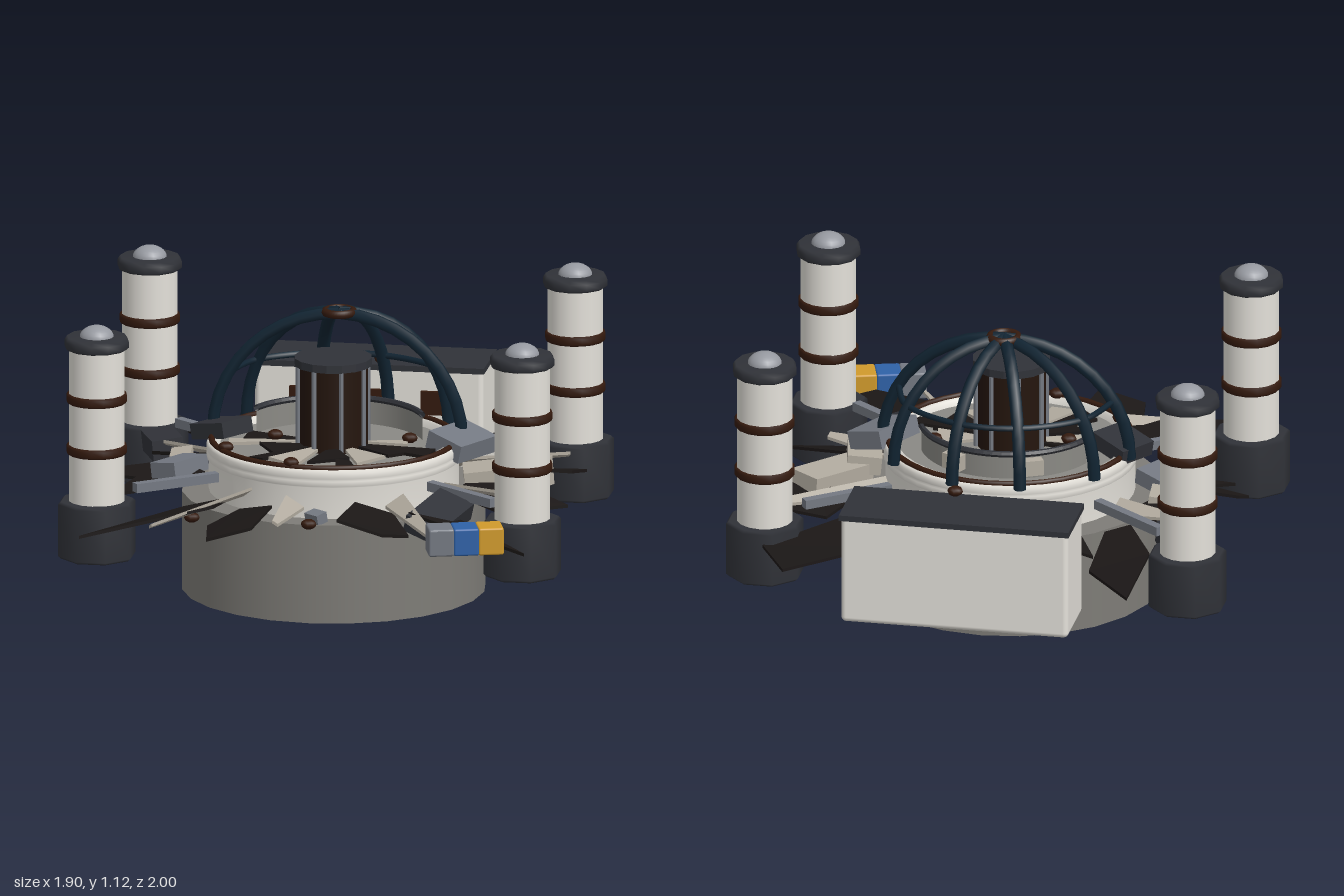
import * as THREE from 'three';
import { RoundedBoxGeometry } from 'three/addons/geometries/RoundedBoxGeometry.js';

const mat = (color, flatShading = false) =>
  new THREE.MeshStandardMaterial({ color, flatShading, side: THREE.DoubleSide });
const M = {
  white: mat(0xe4e1da), beige: mat(0xb3aca0, true), stone: mat(0x7e7c77), floor: mat(0x8a8984),
  dark: mat(0x303238, true), shell: mat(0x303238), char: mat(0x1b1716, true), brown: mat(0x341a0e),
  wood: mat(0x24150d), steel: mat(0x747982, true), navy: mat(0x112432), blue: mat(0x2f62a8),
  yellow: mat(0xd09a2c), lamp: mat(0x9699a0),
};
const CZ = 0.085; // centre of the round building
const V = (x, y, z) => new THREE.Vector3(x, y, z);

export function createModel() {
  const root = new THREE.Group();
  const add = (name, geo, m, x = 0, y = 0, z = 0, parent = root) => {
    const mesh = new THREE.Mesh(geo, m);
    mesh.name = name;
    mesh.position.set(x, y, z);
    parent.add(mesh);
    return mesh;
  };
  const cyl = (r, h, n = 24) => new THREE.CylinderGeometry(r, r, h, n);
  const lathe = (pts, n) => new THREE.LatheGeometry(pts.map(p => new THREE.Vector2(...p)), n);
  const box = (name, size, m, pos, rot = [0, 0, 0]) => {
    const b = add(name, new THREE.BoxGeometry(...size), m, ...pos);
    b.rotation.set(...rot);
    return b;
  };
  const ring = (name, r, t, m, y, z, parent = root) => {
    const g = new THREE.TorusGeometry(r, t, 8, 40);
    g.rotateX(Math.PI / 2);
    return add(name, g, m, 0, y, z, parent);
  };

  // Round base, stepped wall and floor
  add('base', cyl(0.573, 0.38, 24), M.stone, 0, 0.19, CZ);
  add('ringWall', lathe([[0.47, 0.38], [0.47, 0.5], [0.478, 0.505], [0.478, 0.525], [0.474, 0.53],
    [0.478, 0.535], [0.478, 0.555], [0.47, 0.57], [0.43, 0.57], [0.43, 0.5]], 40), M.white, 0, 0, CZ);
  add('floor', cyl(0.44, 0.02, 40), M.floor, 0, 0.535, CZ);
  ring('wallTrim', 0.46, 0.012, M.brown, 0.572, CZ);

  // Low curved back wall inside the dome
  add('backWall', new THREE.CylinderGeometry(0.34, 0.34, 0.09, 24, 1, true, Math.PI * 0.62, Math.PI * 0.76),
    M.floor, 0, 0.59, CZ);
  const rail = new THREE.TorusGeometry(0.34, 0.012, 6, 24, Math.PI * 0.76);
  rail.rotateZ(Math.PI * 0.12);
  rail.rotateX(-Math.PI / 2);
  add('backRail', rail, M.dark, 0, 0.643, CZ);

  // Central column
  add('column', cyl(0.132, 0.33, 16), M.wood, 0, 0.7, 0.1);
  add('columnCap', cyl(0.147, 0.03, 16), M.dark, 0, 0.877, 0.1);
  for (let i = 0; i < 8; i++) {
    const a = (i + 0.5) * Math.PI / 4;
    add('columnRod', cyl(0.01, 0.32, 6), M.steel, 0.135 * Math.sin(a), 0.7, 0.1 + 0.135 * Math.cos(a));
  }

  // Half dome of curved ribs meeting at a hub
  const hub = V(0, 1.025, -0.04);
  const feet = [[-0.475, 0], [-0.385, -0.23], [-0.13, -0.385], [0.13, -0.385], [0.385, -0.23], [0.475, 0]];
  const onRib = ([x, z], t) => V(x * Math.cos(t), 0.56 + 0.465 * Math.sin(t),
    hub.z + (z - hub.z) * Math.cos(t));
  feet.forEach(f => {
    const pts = [];
    for (let i = 0; i <= 8; i++) pts.push(onRib(f, i / 8 * Math.PI / 2));
    add('domeRib', new THREE.TubeGeometry(new THREE.CatmullRomCurve3(pts), 10, 0.024, 6), M.navy);
  });
  const hoop = new THREE.CatmullRomCurve3(feet.map(f => onRib(f, 0.515)));
  add('domeHoop', new THREE.TubeGeometry(hoop, 30, 0.012, 6), M.navy);
  ring('domeHub', 0.052, 0.016, M.brown, 1.03, hub.z);

  // Four corner towers with struts
  for (const sx of [-1, 1]) for (const z of [-0.57, 0.64]) {
    const t = new THREE.Group();
    t.name = 'tower';
    t.position.set(sx * 0.81, 0, z);
    root.add(t);
    const foot = add('towerFoot', lathe([[0, 0.22], [0.138, 0.22], [0.149, 0.23], [0.149, 0.43],
      [0.138, 0.44], [0, 0.44]], 8), M.shell, 0, 0, 0, t);
    foot.rotation.y = Math.PI / 8;
    add('towerShaft', cyl(0.106, 0.6, 16), M.white, 0, 0.735, 0, t);
    for (const y of [0.64, 0.838]) {
      add('towerBand', lathe([[0.1, -0.018], [0.11, -0.018], [0.115, -0.01], [0.115, 0.01],
        [0.11, 0.018], [0.1, 0.018]], 16), M.brown, 0, y, 0, t);
    }
    add('towerCap', lathe([[0, 1.028], [0.115, 1.028], [0.122, 1.035], [0.122, 1.06],
      [0.112, 1.075], [0, 1.075]], 12), M.shell, 0, 0, 0, t);
    const lamp = add('towerLamp', new THREE.SphereGeometry(0.065, 16, 8, 0, Math.PI * 2, 0, Math.PI / 2),
      M.lamp, 0, 1.07, 0, t);
    lamp.scale.y = 0.72;
    const zs = z < 0 ? -1 : 1;
    box('strut', [0.36, 0.035, 0.035], M.steel, [sx * 0.54, 0.465, CZ + zs * (z < 0 ? 0.43 : 0.34)],
      [0, -sx * zs * 0.66, 0]);
  }

  // Long hut at the back
  add('hutBody', new RoundedBoxGeometry(0.87, 0.43, 0.28, 4, 0.02), M.white, 0, 0.435, -0.85);
  box('hutRoof', [0.88, 0.022, 0.3], M.dark, [0, 0.645, -0.85]);
  for (const x of [-0.25, 0, 0.25]) box('hutWindow', [0.1, 0.09, 0.02], M.brown, [x, 0.515, -0.702]);

  // Striped crate with three sections
  const crate = new THREE.Group();
  crate.name = 'crate';
  crate.position.set(0.635, 0.418, 0.905);
  crate.rotation.y = 0.29;
  root.add(crate);
  [M.steel, M.blue, M.yellow].forEach((m, i) =>
    add('crateSection', new RoundedBoxGeometry(0.096, 0.105, 0.115, 2, 0.008), m, (i - 1) * 0.094, 0, 0, crate));

  // Thin flat shards: outline in x, z, sloping outwards and twisted sideways
  const shard = (name, pts, yIn, yOut, m = M.char, twist = 0) => {
    const s = new THREE.Shape(pts.map(([x, z]) => new THREE.Vector2(x, -z)));
    const g = new THREE.ExtrudeGeometry(s, { depth: 0.012, bevelEnabled: false });
    g.rotateX(-Math.PI / 2);
    const p = g.attributes.position;
    const cx = pts.reduce((a, q) => a + q[0] / pts.length, 0);
    const cz = pts.reduce((a, q) => a + q[1] / pts.length, 0);
    const c = Math.atan2(cx, cz - CZ);
    for (let i = 0; i < p.count; i++) {
      const x = p.getX(i), z = p.getZ(i);
      const k = THREE.MathUtils.clamp((Math.hypot(x, z - CZ) - 0.45) / 0.45, 0, 1);
      const side = (x - cx) * Math.cos(c) - (z - cz) * Math.sin(c);
      p.setY(i, p.getY(i) + yIn + (yOut - yIn) * k + twist * side);
    }
    g.computeVertexNormals();
    add(name, g, m);
  };
  [
    [0.2, [[-0.64, -0.89], [-0.45, -0.66], [-0.46, -0.41], [-0.55, -0.36], [-0.66, -0.55]]],
    [0, [[0.67, -0.93], [0.79, -0.71], [0.38, -0.28], [0.24, -0.28], [0.37, -0.66]]],
    [-0.2, [[-0.45, -0.58], [-0.3, -0.57], [-0.26, -0.41], [-0.37, -0.42]]],
    [0.2, [[0.28, -0.56], [0.34, -0.57], [0.32, -0.4], [0.21, -0.37]]],
    [-0.25, [[0.56, -0.25], [0.62, -0.34], [0.9, -0.3], [0.87, -0.13], [0.7, -0.1]]],
    [0.3, [[0.58, 0.06], [0.92, 0.26], [0.68, 0.34], [0.48, 0.24]]],
    [-0.2, [[-0.91, 0.1], [-0.88, 0.07], [-0.6, 0.03], [-0.48, 0.15], [-0.62, 0.25], [-0.82, 0.29],
      [-0.74, 0.16]]],
    [0.25, [[-0.74, -0.3], [-0.48, -0.2], [-0.58, -0.1], [-0.74, -0.2]]],
    [0.25, [[-0.83, 0.92], [-0.5, 0.52], [-0.32, 0.55], [-0.36, 0.68]]],
    [0.3, [[-0.38, 0.7], [-0.28, 0.56], [-0.14, 0.66], [-0.17, 0.95], [-0.34, 0.96]]],
    [-0.32, [[0.16, 0.56], [0.3, 0.52], [0.39, 0.72], [0.31, 0.84], [0.14, 0.86]]],
    [-0.25, [[0.48, 0.45], [0.87, 0.96], [0.38, 0.66]]],
  ].forEach(([twist, pts]) => shard('shard', pts, 0.435, 0.38, M.char, twist));

  // Tapered splinters radiating from the wall, and scorched petals on the floor
  const splinter = (name, x0, z0, x1, z1, w, y0, y1, m, tip = 0.3, twist = 0) => {
    const l = Math.hypot(x1 - x0, z1 - z0), nx = -(z1 - z0) / l * w, nz = (x1 - x0) / l * w;
    shard(name, [[x0 + nx, z0 + nz], [x1 + nx * tip, z1 + nz * tip],
      [x1 - nx * tip, z1 - nz * tip], [x0 - nx, z0 - nz]], y0, y1, m, twist);
  };
  [[-0.22, -0.35, -0.31, -0.58], [-0.02, -0.4, -0.03, -0.6], [0.22, -0.38, 0.28, -0.56],
    [-0.45, -0.16, -0.7, -0.25], [0.42, -0.15, 0.82, -0.38], [-0.25, 0.55, -0.58, 0.8],
    [-0.07, 0.55, -0.1, 0.83], [0.3, 0.5, 0.5, 0.87], [0.45, 0.2, 0.74, 0.3]]
    .forEach((s, i) => splinter('splinter', ...s, 0.035, 0.43, 0.42, M.beige, 0.3, i % 2 ? 0.6 : -0.6));
  for (let i = 0; i < 11; i++) {
    const a = (i - 5) * 0.34 + 0.1 * Math.sin(i * 4.1), r = 0.34 + 0.07 * Math.sin(i * 2.3);
    const s = Math.sin(a), c = Math.cos(a);
    splinter('floorPetal', s * r, 0.1 + c * r, s * 0.13, 0.1 + c * 0.13, 0.04 + 0.02 * (i % 3),
      0.553, 0.553, i % 3 === 1 ? M.beige : M.char, 0.25, i % 2 ? 0.12 : -0.12);
  }

  // Scattered blocks and panels
  box('rubbleBlock', [0.14, 0.11, 0.3], M.beige, [0.655, 0.41, -0.065], [0.08, -0.6, 0.08]);
  box('rubbleBlock', [0.13, 0.07, 0.17], M.beige, [0.56, 0.45, 0.08], [0, 0.2, 0.1]);
  box('rubbleBlock', [0.08, 0.08, 0.13], M.beige, [-0.6, 0.42, -0.06], [0, 0.1, 0.15]);
  box('rubblePanel', [0.16, 0.07, 0.22], M.steel, [0.48, 0.57, 0.05], [0, -0.5, -0.25]);
  box('rubblePanel', [0.12, 0.06, 0.19], M.steel, [-0.58, 0.45, 0.13], [0, -0.55, 0.15]);
  box('rubblePanel', [0.17, 0.06, 0.16], M.dark, [-0.43, 0.59, 0.07], [0, -0.6, 0.2]);
  box('rubblePanel', [0.15, 0.07, 0.26], M.dark, [0.48, 0.41, 0.57], [0.2, -0.35, -0.25]);
  box('rubblePanel', [0.12, 0.08, 0.19], M.dark, [-0.73, 0.4, -0.38], [0, 0.4, 0.1]);
  for (const x of [-0.15, 0.15]) {
    box('deskBlock', [0.08, 0.06, 0.04], M.beige, [x, 0.6, -0.25], [0, -x * 3, 0]);
  }
  box('stoneChip', [0.05, 0.04, 0.07], M.steel, [0.02, 0.4, 0.61], [0, 0.9, 0.2]);

  // Small round knobs
  [[-0.22, 0.58, 0.1], [-0.37, 0.585, 0.33], [0.28, 0.57, 0.03], [-0.09, 0.585, 0.52], [0, 0.385, 0.66],
    [-0.45, 0.385, 0.63], [0.05, 0.675, -0.72]]
    .forEach(p => add('knob', new THREE.SphereGeometry(0.03, 8, 6).scale(1, 0.65, 1), M.brown, ...p));

  return root;
}
